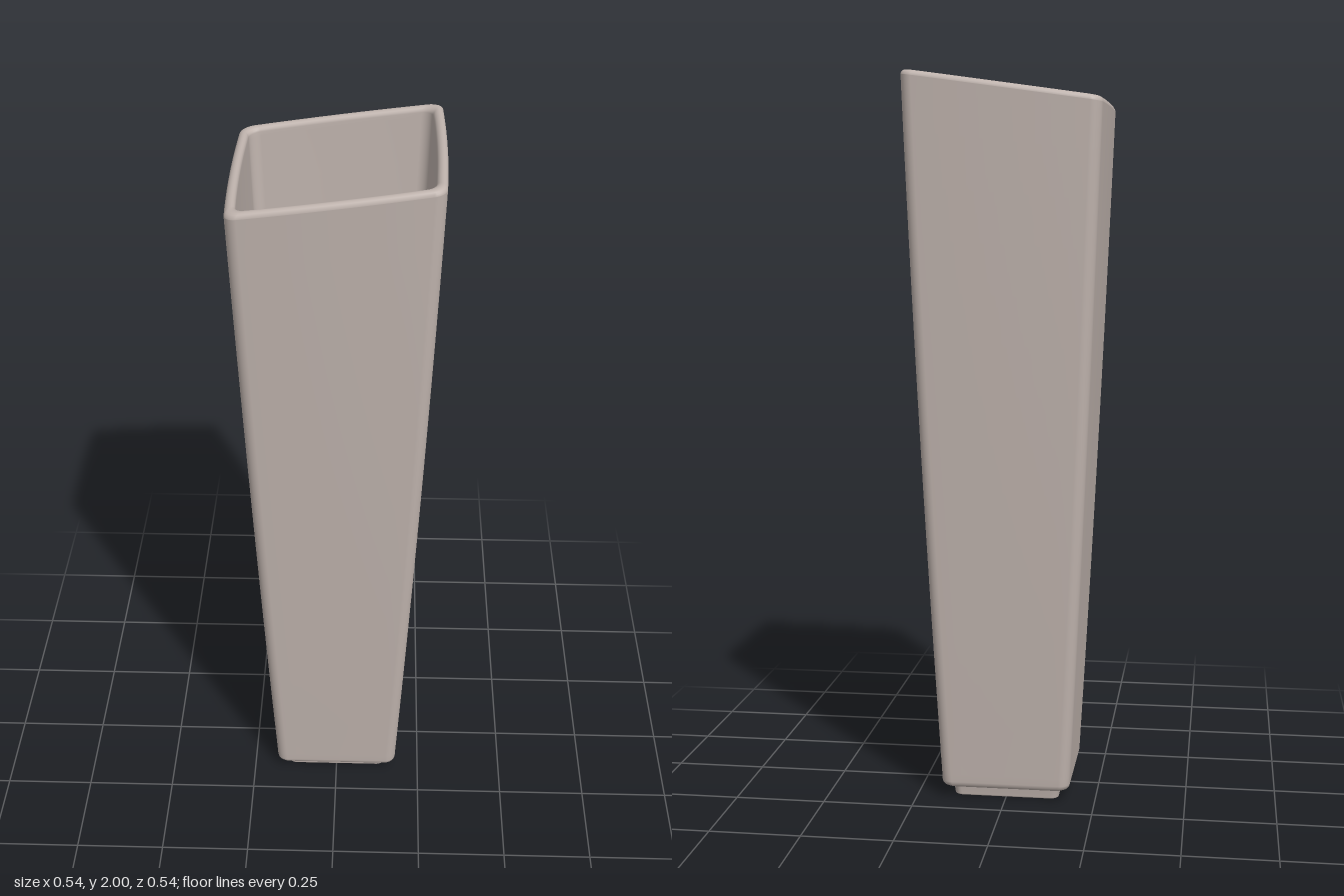
import * as THREE from 'three';

const SIDE = 10, CORNER = 8;

// Rounded-square outline with slightly bowed sides, as [x, z] pairs
function outline(h, r, bow) {
  const pts = [];
  for (let k = 0; k < 4; k++) {
    const quarter = [];
    for (let i = 0; i < SIDE; i++) quarter.push([h, (h - r) * (2 * i / SIDE - 1)]);
    for (let i = 0; i < CORNER; i++) {
      const a = i / CORNER * Math.PI / 2;
      quarter.push([h - r + r * Math.cos(a), h - r + r * Math.sin(a)]);
    }
    for (let [x, z] of quarter) {
      for (let n = 0; n < k; n++) [x, z] = [-z, x];
      const q = h > 0 ? bow / (h * h) : 0;
      pts.push([x * (1 - q * z * z), z * (1 - q * x * x)]);
    }
  }
  return pts;
}

// Skin a list of [half width, height] rings; the top shears into the slanted rim
function loft(profile, radius) {
  const pos = [], index = [], n = 4 * (SIDE + CORNER);
  for (const [h, y] of profile) {
    const t = Math.min(1, Math.max(0, y / 1.95));
    for (const [x, z] of outline(h, Math.min(radius, h * 0.3), 0.025 * t)) {
      pos.push(x, y + 0.14 * x * t ** 4, z);
    }
  }
  for (let i = 0; i < profile.length - 1; i++) {
    for (let j = 0; j < n; j++) {
      const a = i * n + j, b = i * n + (j + 1) % n;
      index.push(a, a + n, b, b, a + n, b + n);
    }
  }
  const g = new THREE.BufferGeometry();
  g.setAttribute('position', new THREE.Float32BufferAttribute(pos, 3));
  g.setIndex(index);
  g.computeVertexNormals();
  return g;
}

// Tapering wall with a faint outward curve
function wall(from, to, y0, y1, steps) {
  const rings = [];
  for (let i = 0; i <= steps; i++) {
    const t = i / steps;
    rings.push([from + (to - from) * t + 0.016 * t * (1 - t), y0 + (y1 - y0) * t]);
  }
  return rings;
}

// Quarter-round fillet between two angles
function fillet(cx, cy, r, a0, a1) {
  return [0, 1, 2, 3, 4].map(i => {
    const a = (a0 + (a1 - a0) * i / 4) * Math.PI / 180;
    return [cx + r * Math.cos(a), cy + r * Math.sin(a)];
  });
}

export function createModel() {
  const group = new THREE.Group();
  group.name = 'vase';
  const ceramic = new THREE.MeshStandardMaterial({ color: 0xbfb3ad });
  ceramic.name = 'warm grey ceramic';
  const add = (name, profile, radius) => {
    const mesh = new THREE.Mesh(loft(profile, radius), ceramic);
    mesh.name = name;
    group.add(mesh);
  };

  // Foot ring with recessed underside
  add('footRing', [
    [0, 0.018], [0.112, 0.018], [0.118, 0.015], [0.12, 0.004],
    ...fillet(0.124, 0.004, 0.004, 180, 270),
    ...fillet(0.143, 0.004, 0.004, 270, 360),
    [0.15, 0.027], [0.152, 0.034],
  ], 0.022);

  // Outer shell, rounded rim and inner wall
  add('body', [
    [0.145, 0.031],
    ...fillet(0.162, 0.049, 0.018, 270, 360),
    ...wall(0.181, 0.27, 0.07, 1.95, 14),
    ...fillet(0.2565, 1.951, 0.0135, 0, 90),
    ...fillet(0.2565, 1.951, 0.0135, 90, 180).slice(1),
    ...wall(0.162, 0.243, 0.09, 1.94, 14).reverse(),
    ...fillet(0.142, 0.085, 0.02, 360, 270),
    [0.12, 0.065], [0, 0.065],
  ], 0.03);

  return group;
}
